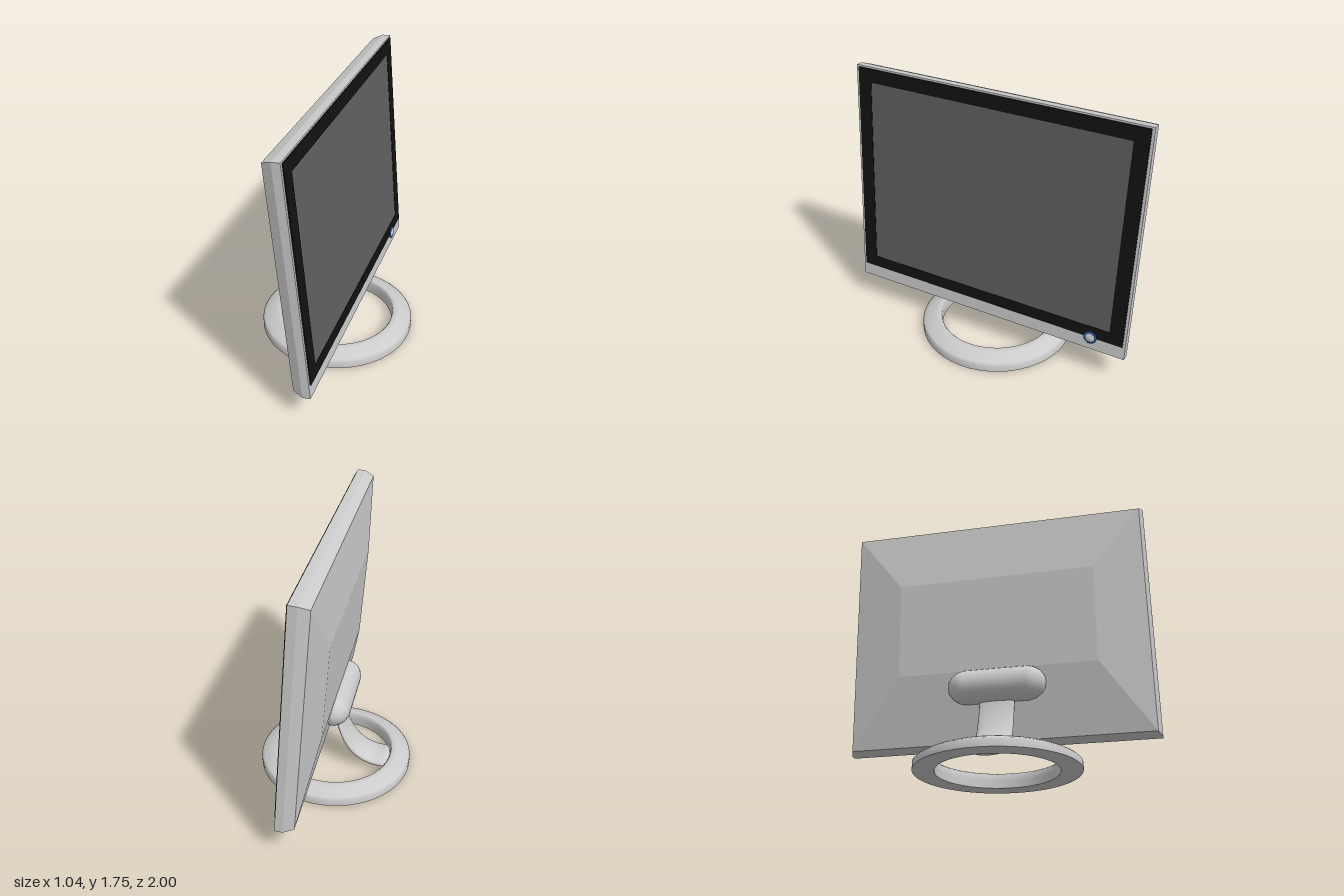
import * as THREE from 'three';
import { ParametricGeometry } from 'three/addons/geometries/ParametricGeometry.js';

const mat = (color, extra = {}) => new THREE.MeshStandardMaterial({ color, ...extra });
const GREY = 0xcccccc;

function part(name, geometry, material, parent) {
  const mesh = new THREE.Mesh(geometry, material);
  mesh.name = name;
  parent.add(mesh);
  return mesh;
}

// Closed loft through rectangles [x, bottom, top, halfDepth], listed front to back
function rectLoft(sections) {
  const rings = sections.map(([x, b, t, d]) => [[x, t, d], [x, b, d], [x, b, -d], [x, t, -d]]);
  const pos = [];
  const quad = (a, b, c, d) => [a, b, c, a, c, d].forEach(p => pos.push(...p));
  for (let r = 0; r < rings.length - 1; r++) {
    for (let i = 0; i < 4; i++) {
      const j = (i + 1) % 4;
      quad(rings[r][i], rings[r + 1][i], rings[r + 1][j], rings[r][j]);
    }
  }
  quad(...rings[0]);
  quad(...[...rings[rings.length - 1]].reverse());
  const g = new THREE.BufferGeometry();
  g.setAttribute('position', new THREE.Float32BufferAttribute(pos, 3));
  g.computeVertexNormals();
  return g;
}

const lathe = (points, segments) =>
  new THREE.LatheGeometry(points.map(p => new THREE.Vector2(...p)), segments);

// Rectangular frame facing +x: outer and inner are [halfDepth, bottom, top]
function frame(outer, inner, thickness) {
  const corners = ([d, b, t]) =>
    [[-d, b], [d, b], [d, t], [-d, t]].map(p => new THREE.Vector2(...p));
  const shape = new THREE.Shape(corners(outer));
  shape.holes.push(new THREE.Path(corners(inner)));
  return new THREE.ExtrudeGeometry(shape, { depth: thickness, bevelEnabled: false }).rotateY(Math.PI / 2);
}

// Swept flat neck: path points carry x, y and half thickness
function neckGeometry() {
  const path = new THREE.CatmullRomCurve3([
    [-0.015, 0.48, 0.016], [-0.04, 0.35, 0.022], [-0.10, 0.2, 0.032],
    [-0.165, 0.118, 0.037], [-0.26, 0.066, 0.037], [-0.385, 0.05, 0.035],
  ].map(p => new THREE.Vector3(...p)));
  return new ParametricGeometry((u, v, target) => {
    const p = path.getPoint(u), t = path.getTangent(u);
    const len = Math.hypot(t.x, t.y);
    const e = Math.max(0, (u - 0.93) / 0.07); // rounded lower end
    const s = Math.sqrt(Math.max(0, 1 - e * e));
    const a = v * Math.PI * 2, k = p.z * s * Math.cos(a);
    target.set(p.x + (t.y / len) * k, p.y - (t.x / len) * k, 0.113 * s * Math.sin(a));
  }, 50, 28);
}

export function createModel() {
  const model = new THREE.Group();
  model.name = 'monitor';
  const grey = mat(GREY);

  // Ring base
  part('baseRing', lathe([
    [0.385, 0], [0.52, 0], [0.52, 0], [0.52, 0.045], [0.505, 0.058], [0.47, 0.077],
    [0.43, 0.092], [0.40, 0.1], [0.387, 0.085], [0.385, 0.05], [0.385, 0],
  ], 48), mat(GREY, { side: THREE.DoubleSide }), model);

  // Curved neck
  part('neck', neckGeometry(), mat(GREY, { side: THREE.DoubleSide }), model);

  // Horizontal hinge barrel with rounded ends
  const half = [[0, 0.315], [0.04, 0.308], [0.075, 0.283], [0.1, 0.245], [0.11, 0.205]];
  const profile = [...half.map(([r, y]) => [r, -y]), ...[...half].reverse()];
  const hinge = part('hinge', lathe(profile, 32).rotateX(Math.PI / 2), grey, model);
  hinge.position.set(-0.025, 0.555, 0);

  // Tilted screen unit, origin at the centre of its front face
  const head = new THREE.Group();
  head.name = 'screenUnit';
  head.position.set(0.11, 0.975, 0);
  head.rotation.z = 0.084;
  model.add(head);

  part('casing', rectLoft([
    [0, -0.778, 0.778, 1],
    [-0.052, -0.778, 0.778, 1],
    [-0.117, -0.757, 0.757, 0.975],
    [-0.18, -0.3, 0.342, 0.65],
  ]), mat(GREY, { flatShading: true }), head);

  part('bezel', frame([0.982, -0.687, 0.767], [0.888, -0.607, 0.677], 0.007), mat(0x121212), head);

  const screen = part('screen', new THREE.BoxGeometry(0.006, 1.284, 1.776), mat(0x606060), head);
  screen.position.set(0.001, 0.035, 0);

  // Power button with its coloured ring
  const button = new THREE.Group();
  button.name = 'powerButton';
  button.position.set(0.007, -0.688, -0.765);
  head.add(button);
  part('buttonRing', new THREE.TorusGeometry(0.037, 0.007, 10, 32).rotateY(Math.PI / 2), mat(0x1f5fb4), button);
  part('buttonCap', lathe([[0.035, -0.007], [0.034, 0.004], [0.025, 0.01], [0, 0.013]], 28)
    .rotateZ(-Math.PI / 2), grey, button);

  return model;
}
